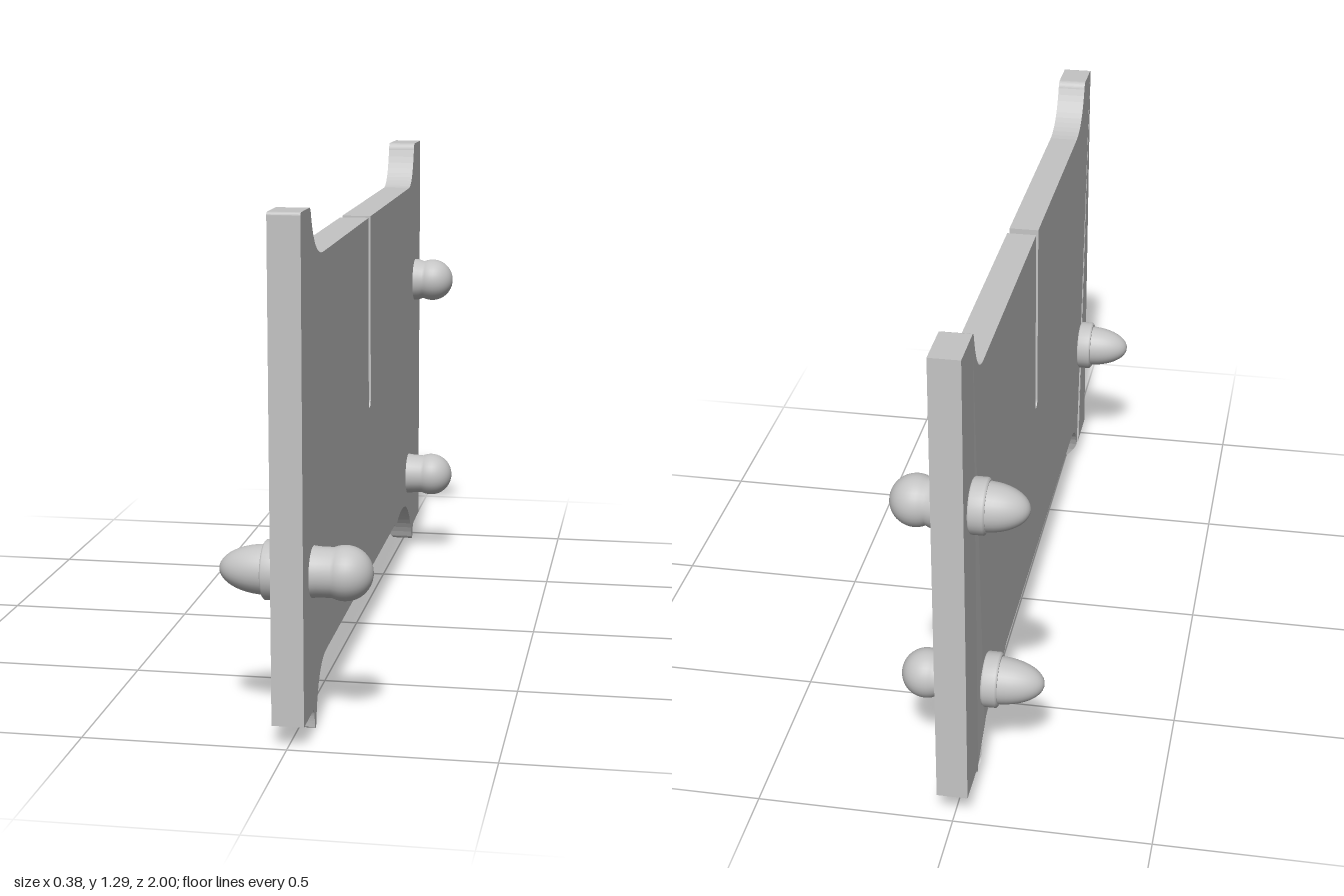
import * as THREE from 'three';

const grey = new THREE.MeshStandardMaterial({ color: 0xc4c4c4 });
grey.name = 'plain grey';

// Flat panel with flared corners, centre slot and two small feet
function createPanel() {
  const s = new THREE.Shape(); // drawn in (-z, y)
  s.moveTo(-1, 1.26);
  s.lineTo(-0.99, 0.055);
  s.lineTo(-0.87, 0.055);
  s.quadraticCurveTo(-0.855, 0.05, -0.85, 0.005);
  s.quadraticCurveTo(-0.84, -0.005, -0.832, 0.01);
  s.bezierCurveTo(-0.82, 0.1, -0.77, 0.15, -0.7, 0.152);
  s.lineTo(0.46, 0.167);
  s.quadraticCurveTo(0.49, 0.152, 0.52, 0.163);
  s.bezierCurveTo(0.57, 0.185, 0.65, 0.182, 0.7, 0.165);
  s.bezierCurveTo(0.76, 0.145, 0.81, 0.09, 0.832, 0.035);
  s.quadraticCurveTo(0.842, 0.018, 0.852, 0.032);
  s.quadraticCurveTo(0.86, 0.07, 0.885, 0.069);
  s.lineTo(0.995, 0.074);
  s.lineTo(0.985, 1.29);
  s.lineTo(0.855, 1.29);
  s.quadraticCurveTo(0.843, 1.288, 0.84, 1.27);
  s.bezierCurveTo(0.82, 1.2, 0.79, 1.162, 0.73, 1.162);
  s.lineTo(-0.008, 1.155);
  s.lineTo(-0.002, 0.645);
  s.quadraticCurveTo(-0.004, 0.628, -0.02, 0.628);
  s.quadraticCurveTo(-0.036, 0.628, -0.037, 0.645);
  s.lineTo(-0.042, 1.154);
  s.lineTo(-0.73, 1.146);
  s.bezierCurveTo(-0.81, 1.15, -0.85, 1.19, -0.875, 1.25);
  s.quadraticCurveTo(-0.88, 1.268, -0.895, 1.268);
  s.lineTo(-0.99, 1.268);
  s.quadraticCurveTo(-1, 1.268, -1, 1.26);

  const geo = new THREE.ExtrudeGeometry(s, { depth: 0.078, bevelEnabled: false, curveSegments: 10 });
  geo.rotateY(Math.PI / 2).translate(-0.038, 0, 0);
  // Slant the right side of the feet inward towards their tips
  const p = geo.attributes.position;
  for (let i = 0; i < p.count; i++) {
    if (p.getX(i) < 0 && p.getY(i) < 0.05) p.setX(i, -0.038 + (0.05 - p.getY(i)) * 0.8);
  }
  geo.computeVertexNormals();
  const mesh = new THREE.Mesh(geo, grey);
  mesh.name = 'panel';
  return mesh;
}

// Surface of revolution lying along x; points are [x, radius]
function turned(name, points) {
  const geo = new THREE.LatheGeometry(points.map(([x, r]) => new THREE.Vector2(r, x)), 32);
  geo.rotateZ(-Math.PI / 2);
  const mesh = new THREE.Mesh(geo, grey);
  mesh.name = name;
  return mesh;
}

// Pin through the panel: pointed cap and collar on one side, round head on the other
function createPin(name, y, z, tip, end, collarR, neckR, headR) {
  const pin = new THREE.Group();
  pin.name = name;
  const cap = [];
  for (let i = 0; i <= 12; i++) {
    const a = (i / 12) * Math.PI / 2;
    cap.push([-0.07 - (-0.07 - tip) * Math.cos(a), 0.061 * Math.sin(a)]);
  }
  pin.add(turned('pointedCap', cap));

  const rim = collarR - 0.006;
  const collar = turned('collar', [[-0.078, 0], [-0.078, rim]]);
  const band = turned('collarBand', [[-0.078, rim], [-0.073, collarR], [-0.042, collarR], [-0.036, rim]]);
  pin.add(collar, band);

  const centre = end - headR;
  const head = [[0.03, neckR + 0.003], [0.055, neckR]];
  for (let i = 0; i <= 14; i++) {
    const a = Math.PI * (0.64 - 0.64 * i / 14);
    const x = centre + headR * Math.cos(a);
    if (x > 0.058) head.push([x, Math.max(0, headR * Math.sin(a))]);
  }
  pin.add(turned('roundHead', head));
  pin.position.set(0, y, z);
  return pin;
}

export function createModel() {
  const model = new THREE.Group();
  model.name = 'slottedPanel';
  model.add(
    createPanel(),
    createPin('frontPin', 0.4, 0.865, -0.188, 0.185, 0.073, 0.061, 0.067),
    createPin('lowerBackPin', 0.262, -0.75, -0.19, 0.177, 0.071, 0.06, 0.064),
    createPin('upperBackPin', 0.86, -0.887, -0.177, 0.159, 0.069, 0.063, 0.064)
  );
  return model;
}
